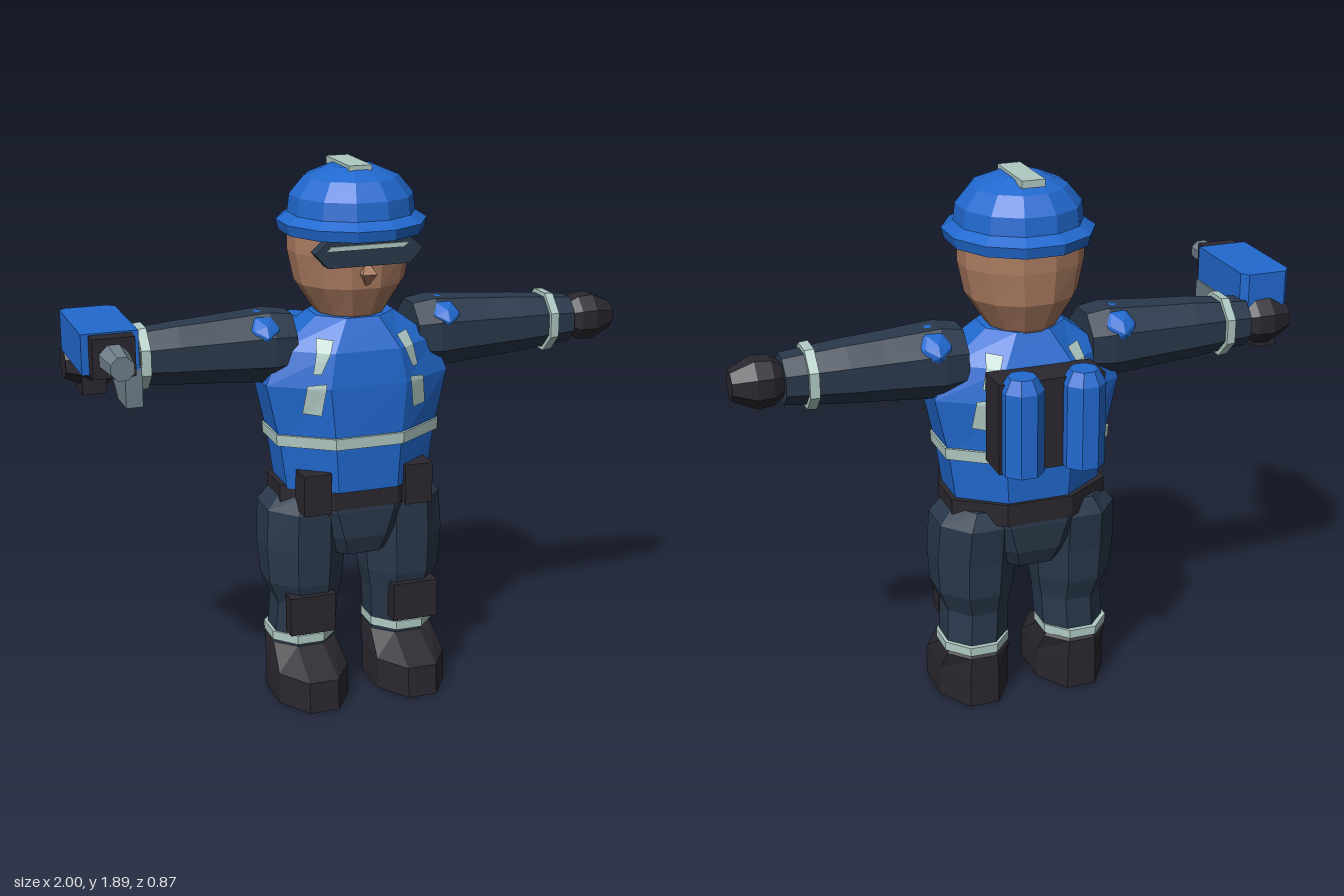
import * as THREE from 'three';

const mat = (name, color) => {
  const m = new THREE.MeshStandardMaterial({ color, flatShading: true, side: THREE.DoubleSide });
  m.name = name;
  return m;
};

// Closed loft along y. Each ring: [y, halfWidthX, halfDepthZ, centreX, centreZ], bottom to top.
function loft(rings, sides = 8) {
  const pos = [], idx = [], k = 1 / Math.cos(Math.PI / sides);
  for (const [y, rx, rz, cx = 0, cz = 0] of rings) {
    for (let i = 0; i < sides; i++) {
      const a = ((i + 0.5) / sides) * Math.PI * 2;
      pos.push(cx + rx * k * Math.sin(a), y, cz + rz * k * Math.cos(a));
    }
  }
  const last = rings.length - 1;
  for (let j = 0; j < last; j++) {
    for (let i = 0; i < sides; i++) {
      const n = (i + 1) % sides, a = j * sides + i, b = j * sides + n;
      idx.push(a, b, b + sides, a, b + sides, a + sides);
    }
  }
  for (let i = 1; i < sides - 1; i++) {
    idx.push(0, i + 1, i);
    idx.push(last * sides, last * sides + i, last * sides + i + 1);
  }
  const g = new THREE.BufferGeometry();
  g.setAttribute('position', new THREE.Float32BufferAttribute(pos, 3));
  g.setIndex(idx);
  const flat = g.toNonIndexed();
  flat.computeVertexNormals();
  return flat;
}

// Box given by its minimum and maximum corners
function box(x0, x1, y0, y1, z0, z1) {
  const g = new THREE.BoxGeometry(Math.abs(x1 - x0), y1 - y0, z1 - z0);
  return g.translate((x0 + x1) / 2, (y0 + y1) / 2, (z0 + z1) / 2);
}

function extrude(points, depth) {
  const shape = new THREE.Shape(points.map(p => new THREE.Vector2(...p)));
  return new THREE.ExtrudeGeometry(shape, { depth, bevelEnabled: false });
}

export function createModel() {
  const blue = mat('blue', 0x2169cf), navy = mat('navy', 0x2a394c), dark = mat('charcoal', 0x2a282f);
  const skin = mat('skin', 0xa97a60), pale = mat('reflective', 0xb0cac4), grey = mat('steel', 0x6f7f8a);

  const model = new THREE.Group();
  model.name = 'guard';
  const add = (name, geometry, material) => {
    const mesh = new THREE.Mesh(geometry, material);
    mesh.name = name;
    model.add(mesh);
    return mesh;
  };

  // Head and nose
  const HZ = -0.065;
  add('head', loft([
    [1.36, 0.1, 0.11, 0, HZ], [1.39, 0.12, 0.13, 0, HZ], [1.49, 0.185, 0.175, 0, HZ],
    [1.6, 0.208, 0.183, 0, HZ], [1.7, 0.208, 0.18, 0, HZ],
  ], 12), skin);
  add('nose', loft([
    [1.505, 0.006, 0.01, 0, 0.11], [1.545, 0.025, 0.035, 0, 0.112], [1.575, 0.01, 0.008, 0, 0.11],
  ], 4), skin);

  // Visor with a glint
  add('visor', extrude([
    [-0.19, 1.625], [-0.145, 1.575], [0.145, 1.575], [0.19, 1.625], [0.145, 1.665], [-0.145, 1.665],
  ], 0.05).translate(0, 0, 0.09), navy);
  add('visorGlint', extrude([
    [-0.15, 1.632], [0.12, 1.632], [0.14, 1.648], [-0.135, 1.648],
  ], 0.005).translate(0, 0, 0.14), pale);

  // Helmet
  const CZ = -0.042;
  add('helmet', loft([
    [1.668, 0.238, 0.248, 0, CZ], [1.705, 0.248, 0.256, 0, CZ], [1.73, 0.21, 0.213, 0, CZ],
    [1.79, 0.203, 0.206, 0, CZ], [1.85, 0.155, 0.16, 0, CZ], [1.885, 0.075, 0.08, 0, CZ],
  ], 12), blue);
  add('helmetStripe', box(-0.04, 0.04, 1.87, 1.895, -0.185, 0.05), pale);

  // Torso and reflective waist band
  const TZ = -0.055;
  const torso = add('torso', loft([
    [0.785, 0.26, 0.19, 0, TZ], [0.95, 0.283, 0.195, 0, TZ], [1.16, 0.33, 0.197, 0, TZ],
    [1.28, 0.28, 0.185, 0, TZ], [1.385, 0.14, 0.13, 0, TZ],
  ]), blue);
  add('waistBand', loft([[0.945, 0.295, 0.205, 0, TZ], [0.985, 0.298, 0.206, 0, TZ]]), pale);

  // Chest and back strips, laid on the torso surface
  const ray = new THREE.Raycaster();
  torso.updateMatrixWorld();
  const onTorso = (x, y, f) => {
    ray.set(new THREE.Vector3(x, y, f * 2), new THREE.Vector3(0, 0, -f));
    const hit = ray.intersectObject(torso)[0];
    return [x, y, (hit ? hit.point.z : TZ) + f * 0.008];
  };
  const strip = (s, f, [a, b, c, d]) => {
    const pos = [], idx = [], rows = 8, cols = 4;
    const mix = (p, q, t) => [p[0] + (q[0] - p[0]) * t, p[1] + (q[1] - p[1]) * t];
    for (let r = 0; r <= rows; r++) {
      for (let k = 0; k <= cols; k++) {
        const [x, y] = mix(mix(a, b, k / cols), mix(d, c, k / cols), r / rows);
        pos.push(...onTorso(s * x, y, f));
        if (r === rows || k === cols) continue;
        const i = r * (cols + 1) + k, j = i + cols + 1;
        if (s * f > 0) idx.push(i, j, i + 1, i + 1, j, j + 1);
        else idx.push(i, i + 1, j, i + 1, j + 1, j);
      }
    }
    const g = new THREE.BufferGeometry();
    g.setAttribute('position', new THREE.Float32BufferAttribute(pos, 3));
    g.setIndex(idx);
    g.computeVertexNormals();
    return g;
  };

  // Hips and belt
  add('hips', loft([
    [0.535, 0.14, 0.15, 0, -0.065], [0.6, 0.185, 0.175, 0, -0.068],
    [0.7, 0.25, 0.185, 0, -0.07], [0.76, 0.27, 0.18, 0, -0.07],
  ]), navy);
  add('belt', loft([[0.715, 0.28, 0.187, 0, -0.07], [0.795, 0.28, 0.187, 0, -0.07]]), dark);

  for (const s of [1, -1]) {
    const side = s > 0 ? 'left' : 'right';
    const part = (name, geometry, material) => add(side + name, geometry, material);

    for (const f of [1, -1]) {
      const where = f > 0 ? 'Chest' : 'Back';
      part(where + 'StripUpper', strip(s, f, [[0.115, 1.32], [0.165, 1.325], [0.19, 1.21], [0.165, 1.21]]), pale);
      part(where + 'StripLower', strip(s, f, [[0.15, 1.18], [0.21, 1.17], [0.222, 1.07], [0.165, 1.065]]), pale);
    }

    // Leg, cuff band, boot, knee pad and belt pouch
    part('Leg', loft([
      [0.18, 0.112, 0.115, s * 0.185, -0.075], [0.35, 0.112, 0.125, s * 0.175, -0.06],
      [0.43, 0.135, 0.147, s * 0.184, -0.062], [0.56, 0.145, 0.155, s * 0.183, -0.065],
      [0.7, 0.14, 0.165, s * 0.18, -0.075], [0.76, 0.1, 0.14, s * 0.17, -0.075],
    ]), navy);
    part('CuffBand', loft([
      [0.203, 0.118, 0.13, s * 0.187, -0.075], [0.235, 0.118, 0.13, s * 0.187, -0.075],
    ]), pale);
    part('Boot', loft([
      [0, 0.128, 0.202, s * 0.185, -0.003], [0.112, 0.128, 0.198, s * 0.185, -0.006],
      [0.19, 0.115, 0.122, s * 0.185, -0.083], [0.205, 0.105, 0.11, s * 0.185, -0.085],
    ]), dark);
    part('KneePad', box(s * 0.11, s * 0.275, 0.26, 0.4, 0.04, 0.1), dark);
    part('Pouch', box(s * 0.135, s * 0.235, 0.715, 0.86, 0.04, 0.14), dark);

    // Arm, wrist band and fist: lofted upright, then laid out sideways
    const sideways = (rings, name, material) => {
      const g = loft(rings.map(([d, r, rz = r]) => [d, r, rz]));
      part(name, g.rotateZ(-s * Math.PI / 2).translate(0, 1.282, -0.067), material);
    };
    sideways([[0.22, 0.11], [0.3, 0.122], [0.38, 0.116], [0.5, 0.107], [0.62, 0.1], [0.83, 0.08]], 'Arm', navy);
    sideways([[0.725, 0.105], [0.757, 0.102]], 'WristBand', pale);
    sideways([[0.82, 0.05], [0.865, 0.078], [0.92, 0.082], [0.998, 0.048]], 'Fist', dark);

    // Faceted shoulder pad
    part('ShoulderPad', new THREE.IcosahedronGeometry(1, 1).scale(0.085, 0.07, 0.13)
      .translate(s * 0.327, 1.335, -0.07), blue);

    // Tank on the backpack
    part('Tank', loft([
      [0.97, 0.068, 0.068, s * 0.107, -0.37], [1.26, 0.068, 0.068, s * 0.107, -0.37],
      [1.305, 0.045, 0.045, s * 0.107, -0.37],
    ]), blue);
  }

  add('backpack', box(-0.185, 0.185, 0.965, 1.28, -0.365, -0.235), dark);

  // Hand-held launcher in the right hand
  add('launcherBody', loft([
    [-0.1, 0.07, 0.065], [-0.075, 0.092, 0.066], [0.26, 0.092, 0.066],
  ], 4).rotateX(Math.PI / 2).translate(-0.907, 1.392, 0), blue);
  add('launcherCollar', box(-0.975, -0.838, 1.325, 1.453, 0.255, 0.315), dark);
  add('launcherBarrel', loft([[0.31, 0.047, 0.047], [0.435, 0.037, 0.037]])
    .rotateX(Math.PI / 2).translate(-0.907, 1.385, 0), grey);
  add('launcherFin', extrude([
    [-0.26, 1.335], [-0.26, 1.205], [-0.14, 1.205], [0.05, 1.335],
  ], 0.055).rotateY(Math.PI / 2).translate(-0.863, 0, 0), grey);
  add('launcherGrip', box(-0.95, -0.87, 1.185, 1.33, -0.1, 0.0), dark);

  return model;
}
